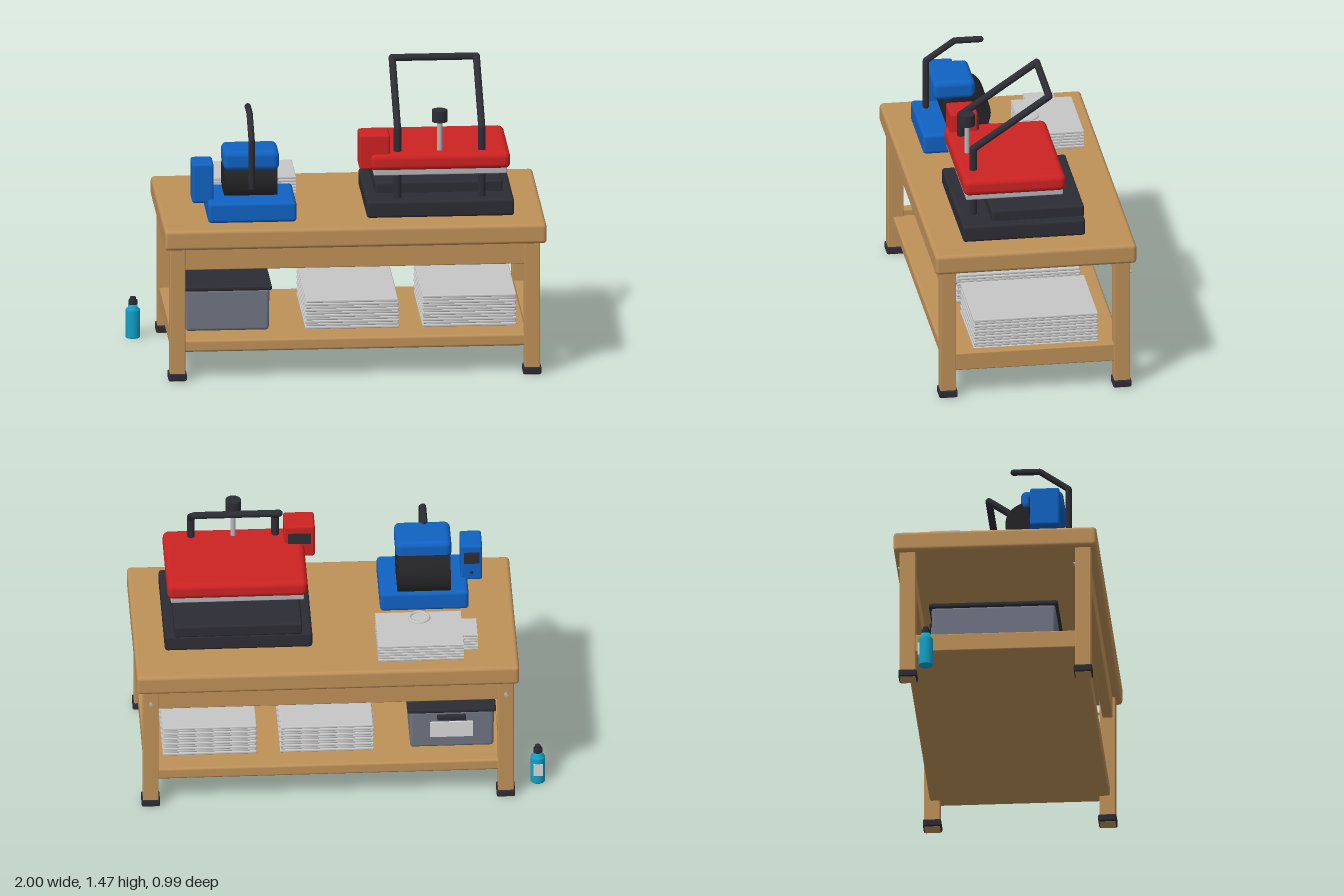
import * as THREE from 'three';
import { RoundedBoxGeometry } from 'three/addons/geometries/RoundedBoxGeometry.js';

const mat = (name, color) => Object.assign(new THREE.MeshStandardMaterial({ color }), { name });
const M = {
  wood: mat('wood', 0xbd9058), dark: mat('dark plastic', 0x2c2c34), black: mat('black rubber', 0x232326),
  red: mat('red enamel', 0xcc2222), blue: mat('blue enamel', 0x1062c2), bin: mat('grey plastic', 0x6f7482),
  cloth: mat('light grey cloth', 0xc6c6c6), metal: mat('metal', 0xb4b6ba), cyan: mat('cyan plastic', 0x12a0c6),
  label: mat('label', 0xdadada),
};

export function createModel() {
  const root = new THREE.Group();
  root.name = 'pressWorkbench';
  const group = (name) => {
    const g = new THREE.Group();
    g.name = name;
    root.add(g);
    return g;
  };
  const add = (parent, name, geo, material, x = 0, y = 0, z = 0) => {
    const m = new THREE.Mesh(geo, material);
    m.name = name;
    m.position.set(x, y, z);
    parent.add(m);
    return m;
  };
  // Box from its limits, rounded when r > 0
  const box = (parent, name, material, [x0, x1], [y0, y1], [z0, z1], r = 0) => {
    const s = [x1 - x0, y1 - y0, z1 - z0];
    const geo = r ? new RoundedBoxGeometry(...s, 3, r) : new THREE.BoxGeometry(...s);
    return add(parent, name, geo, material, (x0 + x1) / 2, (y0 + y1) / 2, (z0 + z1) / 2);
  };
  // Round bar through a list of points, with rounded joints
  const bar = (parent, name, material, points, r) => {
    const pts = points.map((p) => new THREE.Vector3(...p));
    pts.forEach((p, i) => {
      add(parent, name + 'Joint', new THREE.SphereGeometry(r, 16, 10), material, p.x, p.y, p.z);
      if (i) add(parent, name, new THREE.TubeGeometry(new THREE.LineCurve3(pts[i - 1], p), 1, r, 16), material);
    });
  };

  // Workbench
  const bench = group('workbench');
  box(bench, 'tableTop', M.wood, [-0.867, 0.997], [0.67, 0.77], [-0.495, 0.495], 0.018);
  for (const x of [-0.803, 0.928]) {
    for (const z of [-0.428, 0.428]) {
      box(bench, 'leg', M.wood, [x - 0.038, x + 0.038], [0, 0.68], [z - 0.039, z + 0.039], 0.005);
      box(bench, 'foot', M.dark, [x - 0.045, x + 0.045], [0.003, 0.04], [z - 0.045, z + 0.045], 0.008);
      const screw = add(bench, 'screw', new THREE.CylinderGeometry(0.009, 0.009, 0.012, 12), M.metal, x, 0.6, z - 0.043);
      screw.rotation.x = Math.PI / 2;
    }
    box(bench, 'sideRail', M.wood, [x - 0.028, x + 0.028], [0.14, 0.23], [-0.4, 0.4], 0.006);
  }
  for (const z of [-0.428, 0.428])
    box(bench, 'apron', M.wood, [-0.78, 0.91], [0.56, 0.675], [z - 0.025, z + 0.025], 0.005);
  box(bench, 'shelf', M.wood, [-0.8, 0.925], [0.14, 0.2], [-0.44, 0.44], 0.012);

  // Storage bin with tapered walls
  const bin = group('storageBin');
  const body = new RoundedBoxGeometry(0.415, 0.21, 0.61, 3, 0.015);
  const p = body.attributes.position;
  for (let i = 0; i < p.count; i++) {
    const k = 0.985 + 0.07 * p.getY(i);
    p.setX(i, p.getX(i) * k);
    p.setZ(i, p.getZ(i) * k);
  }
  add(bin, 'binBody', body, M.bin, -0.547, 0.305, -0.015);
  box(bin, 'binLid', M.dark, [-0.762, -0.33], [0.405, 0.43], [-0.33, 0.3], 0.01);
  box(bin, 'binHandle', M.dark, [-0.615, -0.475], [0.365, 0.392], [-0.336, -0.31], 0.006);
  box(bin, 'binLabel', M.label, [-0.65, -0.44], [0.265, 0.35], [-0.324, -0.316]);

  // Folded cloth on the shelf
  for (const [x0, count] of [[-0.167, 10], [0.405, 11]]) {
    const stack = group('clothStack');
    for (let i = 0; i < count; i++) {
      const d = (i % 2) * 0.004, y = 0.2 + i * 0.0146;
      box(stack, 'foldedCloth', M.cloth, [x0 + d, x0 + 0.458 - d], [y, y + 0.0142], [-0.325 + d, 0.287 - d], 0.005);
    }
  }

  // Shirts on the table, each with a sleeve on one side
  const shirts = group('shirtStack');
  const outline = [[-0.6, -0.115], [-0.185, -0.115], [-0.185, -0.41], [-0.6, -0.41], [-0.6, -0.33],
    [-0.672, -0.33], [-0.672, -0.185], [-0.6, -0.185]];
  const shape = new THREE.Shape(outline.map(([x, z]) => new THREE.Vector2(x, -z)));
  const shirtGeo = new THREE.ExtrudeGeometry(shape, {
    depth: 0.006, bevelEnabled: true, bevelThickness: 0.004, bevelSize: 0.004, bevelOffset: -0.002, bevelSegments: 2,
  });
  shirtGeo.rotateX(-Math.PI / 2);
  for (let i = 0; i < 6; i++) add(shirts, 'shirt', shirtGeo, M.cloth, 0, 0.774 + i * 0.0154, 0);
  const collar = add(shirts, 'collar', new THREE.TorusGeometry(0.047, 0.008, 8, 32), M.cloth, -0.395, 0.861, -0.165);
  collar.rotation.x = Math.PI / 2;

  // Flat press
  const press = group('flatPress');
  box(press, 'pressBase', M.dark, [0.13, 0.85], [0.77, 0.855], [-0.265, 0.337], 0.015);
  box(press, 'lowerPlaten', M.dark, [0.18, 0.803], [0.845, 0.91], [-0.265, 0.19], 0.012);
  box(press, 'heatPlate', M.metal, [0.165, 0.815], [0.98, 1.02], [-0.16, 0.318], 0.006);
  box(press, 'upperPlaten', M.red, [0.147, 0.832], [1.003, 1.09], [-0.173, 0.33], 0.03);
  for (const x of [0.285, 0.696])
    bar(press, 'post', M.dark, [[x, 0.85, 0.265], [x, 1.2, 0.265]], 0.019);
  bar(press, 'pressHandle', M.dark,
    [[0.285, 1.2, 0.265], [0.285, 1.455, -0.108], [0.696, 1.455, -0.108], [0.696, 1.2, 0.265]], 0.0175);
  add(press, 'pressureScrew', new THREE.CylinderGeometry(0.013, 0.013, 0.17, 16), M.metal, 0.49, 1.16, 0.265);
  add(press, 'pressureKnob', new THREE.CylinderGeometry(0.038, 0.038, 0.058, 24), M.dark, 0.49, 1.265, 0.265);
  box(press, 'controlBox', M.red, [0.095, 0.245], [1.01, 1.185], [0.175, 0.312], 0.012);
  box(press, 'display', M.dark, [0.115, 0.228], [1.088, 1.145], [0.167, 0.176]);
  add(press, 'button', new THREE.SphereGeometry(0.01, 12, 8), M.metal, 0.17, 1.045, 0.175);

  // Drum press
  const drumPress = group('drumPress');
  box(drumPress, 'drumBase', M.blue, [-0.647, -0.215], [0.77, 0.873], [0.03, 0.375], 0.018);
  const drum = add(drumPress, 'drum', new THREE.CylinderGeometry(0.115, 0.115, 0.26, 40), M.black, -0.43, 0.935, 0.145);
  drum.rotation.z = Math.PI / 2;
  box(drumPress, 'drumSaddle', M.blue, [-0.568, -0.295], [1.015, 1.113], [0.105, 0.312], 0.028);
  bar(drumPress, 'drumLever', M.dark,
    [[-0.432, 0.935, 0.33], [-0.432, 1.175, 0.33], [-0.432, 1.272, 0.19], [-0.432, 1.272, 0.062]], 0.0155);
  box(drumPress, 'drumControlBox', M.blue, [-0.72, -0.615], [0.855, 1.053], [0.16, 0.305], 0.012);
  box(drumPress, 'drumDisplay', M.dark, [-0.705, -0.63], [0.955, 1.015], [0.152, 0.161]);
  add(drumPress, 'drumButton', new THREE.SphereGeometry(0.009, 12, 8), M.dark, -0.667, 0.9, 0.16);

  // Bottle standing beside the bench
  const bottle = group('bottle');
  const profile = [[0, 0], [0.033, 0], [0.036, 0.004], [0.036, 0.138], [0.033, 0.145], [0.024, 0.148], [0.024, 0.168], [0, 0.168]];
  add(bottle, 'bottleBody', new THREE.LatheGeometry(profile.map((q) => new THREE.Vector2(...q)), 24), M.cyan, -0.965, 0, -0.33);
  add(bottle, 'bottleNeck', new THREE.CylinderGeometry(0.022, 0.022, 0.022, 20), M.dark, -0.965, 0.178, -0.33);
  add(bottle, 'bottleCap', new THREE.CylinderGeometry(0.014, 0.016, 0.016, 20), M.dark, -0.965, 0.197, -0.33);
  box(bottle, 'bottleLabel', M.label, [-0.988, -0.942], [0.05, 0.115], [-0.368, -0.36]);

  return root;
}
